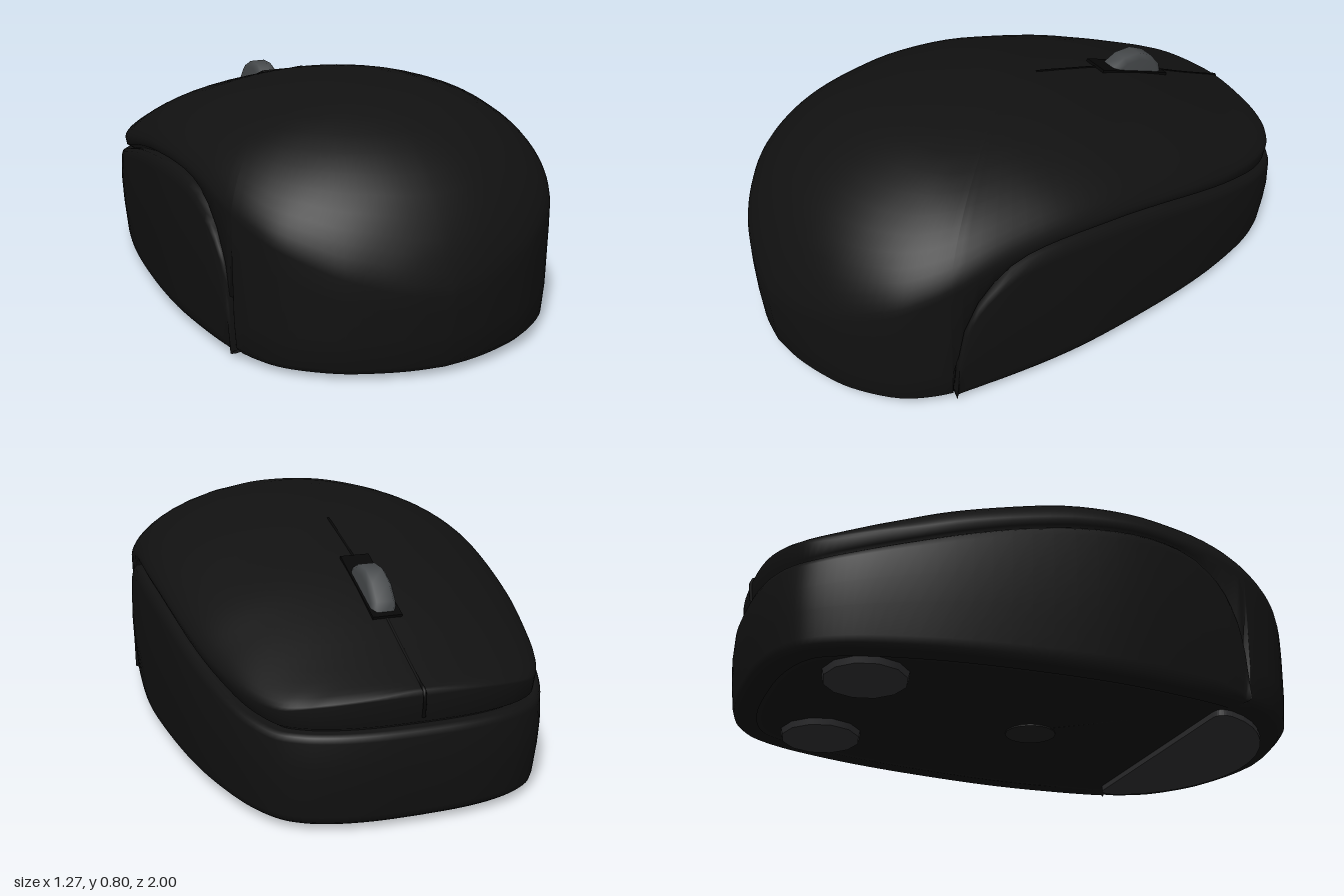
import * as THREE from 'three';

// Smooth lookup through [z, value] points
function table(pts) {
  const n = pts.length;
  const sec = i => (pts[i + 1][1] - pts[i][1]) / (pts[i + 1][0] - pts[i][0]);
  const slope = pts.map((_, i) => {
    if (i === 0) return sec(0);
    if (i === n - 1) return sec(n - 2);
    const a = sec(i - 1), b = sec(i);
    return a * b <= 0 ? 0 : (2 * a * b) / (a + b);
  });
  return z => {
    z = THREE.MathUtils.clamp(z, pts[0][0], pts[n - 1][0]);
    let i = 0;
    while (i < n - 2 && z > pts[i + 1][0]) i++;
    const h = pts[i + 1][0] - pts[i][0], t = (z - pts[i][0]) / h, t2 = t * t, t3 = t2 * t;
    return (2 * t3 - 3 * t2 + 1) * pts[i][1] + (t3 - 2 * t2 + t) * h * slope[i]
      + (3 * t2 - 2 * t3) * pts[i + 1][1] + (t3 - t2) * h * slope[i + 1];
  };
}

// Centre-line height, shell edge height and skirt top height along z
const ridge = table([[-1, .425], [-.8, .51], [-.6, .6], [-.45, .66], [-.25, .72], [-.06, .77], [.08, .79],
  [.27, .8], [.48, .785], [.68, .715], [.85, .59], [.95, .43], [.985, .33], [1, .27]]);
const edge = table([[-1, .42], [-.96, .405], [-.88, .385], [-.6, .425], [-.4, .475], [-.2, .52], [0, .555],
  [.2, .568], [.4, .55], [.6, .495], [.8, .41], [.93, .33], [1, .268]]);
const skirtTop = table([[-1, .32], [-.9, .32], [-.8, .335], [-.6, .385], [-.4, .44], [-.2, .49], [0, .525],
  [.2, .54], [.3, .535], [.4, .51], [.5, .44], [.57, .33], [.6, .2], [.612, .03]]);

// Half plan outline, nose to tail
const half = new THREE.SplineCurve([[0, -1], [.12, -.997], [.22, -.985], [.3, -.965], [.37, -.935], [.44, -.88],
  [.5, -.78], [.545, -.65], [.59, -.45], [.62, -.2], [.635, .1], [.62, .35], [.585, .58], [.53, .72],
  [.465, .81], [.35, .9], [.24, .95], [.12, .985], [0, 1]].map(p => new THREE.Vector2(...p))).getPoints(72);

function widthAt(pts, z) {
  for (let i = 0; i < pts.length - 1; i++) {
    const a = pts[i], b = pts[i + 1];
    if (z <= b.y) return THREE.MathUtils.lerp(a.x, b.x, THREE.MathUtils.clamp((z - a.y) / (b.y - a.y || 1), 0, 1));
  }
  return 0;
}

// Move outline point i inward by d
function inset(pts, i, d, closed) {
  const n = pts.length;
  const a = closed ? pts[(i + n - 1) % n] : pts[Math.max(i - 1, 0)];
  const b = closed ? pts[(i + 1) % n] : pts[Math.min(i + 1, n - 1)];
  const t = b.clone().sub(a).normalize();
  return new THREE.Vector2(pts[i].x - t.y * d, pts[i].y + t.x * d);
}

// Skin a grid of columns, each running bottom to top
function skin(columns, closed) {
  const n = columns.length, m = columns[0].length, idx = [];
  for (let i = 0; i < (closed ? n : n - 1); i++) {
    for (let k = 0; k < m - 1; k++) {
      const a = i * m + k, b = ((i + 1) % n) * m + k;
      idx.push(a, a + 1, b, b, a + 1, b + 1);
    }
  }
  const g = new THREE.BufferGeometry();
  g.setAttribute('position', new THREE.Float32BufferAttribute(columns.flat(2), 3));
  g.setIndex(idx);
  g.computeVertexNormals();
  return g;
}

function shellGeometry() {
  const extra = [.6, .625].map(z => new THREE.Vector2(widthAt(half, z), z));
  const right = [...half, ...extra].sort((a, b) => a.y - b.y);
  const loop = [...right, ...right.slice(1, -1).reverse().map(p => new THREE.Vector2(-p.x, p.y))];
  const margin = z => .02 * (1 - THREE.MathUtils.smoothstep(z, .3, .75));
  const rim = loop.map((p, i) => inset(loop, i, margin(p.y), true));
  const rimHalf = rim.slice(0, right.length);
  const scales = [.995, .985, .97, .95, .92, .88, .83, .77, .7, .62, .53, .43, .32, .2, .1, 0];
  return skin(loop.map((p, i) => {
    const z = p.y, E = edge(z), S = skirtTop(z), d = margin(z);
    // Tail wall is exposed; elsewhere the wall is recessed behind the skirt
    const wall = z > .61
      ? [[.1, .02], [.035, .02], [.012, .045], [.004, .14], [0, E * .8], [0, E]]
      : [[.1, .022], [.05, .022], [.05, .1], [.03, S], [.006, S + .015], [0, E]];
    const col = [[0, wall[0][1], 0]];
    for (const [w, y] of wall) {
      const q = inset(loop, i, w + d, true);
      col.push([q.x, y, q.y]);
    }
    // Domed roof closing to the middle
    for (const r of scales) {
      const x = rim[i].x * r, zz = rim[i].y * r;
      const u = Math.min(1, Math.abs(x) / (widthAt(rimHalf, zz) || 1));
      col.push([x, edge(zz) + (ridge(zz) - edge(zz)) * Math.pow(1 - u * u, .6), zz]);
    }
    return col;
  }), true);
}

function skirtGeometry() {
  const right = half.filter(p => p.y < .48);
  for (const z of [.5, .53, .555, .575, .59, .6, .606, .612]) right.push(new THREE.Vector2(widthAt(half, z), z));
  const path = [...right.slice(1).reverse().map(p => new THREE.Vector2(-p.x, p.y)), ...right];
  const profile = [[.1, 0], [.035, 0], [.022, .035], [.016, .1], [.005, .4], [0, .65], [.003, .92], [.009, .975],
    [.022, 1], [.06, 1]];
  return skin(path.map((p, i) => profile.map(([d, t]) => {
    const q = inset(path, i, d, false);
    return [q.x, .02 + (skirtTop(p.y) - .02) * t, q.y];
  })), false);
}

export function createModel() {
  const model = new THREE.Group();
  const mat = (color, side = THREE.FrontSide) => new THREE.MeshStandardMaterial({ color, side });
  const black = mat(0x111111), seamMat = mat(0x060606), footMat = mat(0x2c2c2e), wheelMat = mat(0x45484a);
  const add = (name, geo, material, x = 0, y = 0, z = 0) => {
    const mesh = new THREE.Mesh(geo, material);
    mesh.name = name;
    mesh.position.set(x, y, z);
    model.add(mesh);
    return mesh;
  };

  add('upperShell', shellGeometry(), black);
  add('sideSkirt', skirtGeometry(), mat(0x111111, THREE.DoubleSide));

  // Parting line between the two buttons
  const line = [new THREE.Vector3(0, .35, -.977)];
  for (let z = -.98; z <= -.09; z += .04) line.push(new THREE.Vector3(0, ridge(z) - .003, z));
  add('buttonSeam', new THREE.TubeGeometry(new THREE.CatmullRomCurve3(line), 60, .006, 6), seamMat);

  // Scroll wheel with bevelled rim, in its slot
  const slot = add('wheelSlot', new THREE.BoxGeometry(.1, .012, .33), seamMat, 0, ridge(-.52) - .003, -.52);
  slot.rotation.x = -Math.atan2(ridge(-.38) - ridge(-.66), .28);
  const tread = [[0, -.043], [.13, -.043], [.15, -.028], [.15, .028], [.13, .043], [0, .043]];
  const wheel = new THREE.LatheGeometry(tread.map(p => new THREE.Vector2(...p)), 14);
  wheel.rotateZ(Math.PI / 2);
  add('scrollWheel', wheel, wheelMat, 0, .55, -.515);

  // Glide pads
  const pad = new THREE.CylinderGeometry(1, .96, .024, 12);
  for (const s of [-1, 1]) add('frontFoot', pad, footMat, s * .285, .012, -.64).scale.set(.155, 1, .143);
  const shape = new THREE.Shape();
  shape.moveTo(-.43, .545);
  shape.lineTo(.43, .545);
  shape.quadraticCurveTo(.47, .55, .463, .6);
  shape.bezierCurveTo(.42, .76, .22, .91, 0, .91);
  shape.bezierCurveTo(-.22, .91, -.42, .76, -.463, .6);
  shape.quadraticCurveTo(-.47, .55, -.43, .545);
  const rear = new THREE.ExtrudeGeometry(shape, { depth: .024, bevelEnabled: false, curveSegments: 8 });
  rear.rotateX(Math.PI / 2);
  add('rearFoot', rear, footMat, 0, .024, 0);

  // Optical window underneath
  add('sensorWindow', new THREE.CylinderGeometry(.09, .09, .006, 16), mat(0x1c1c1c), 0, .02, .05);
  return model;
}
